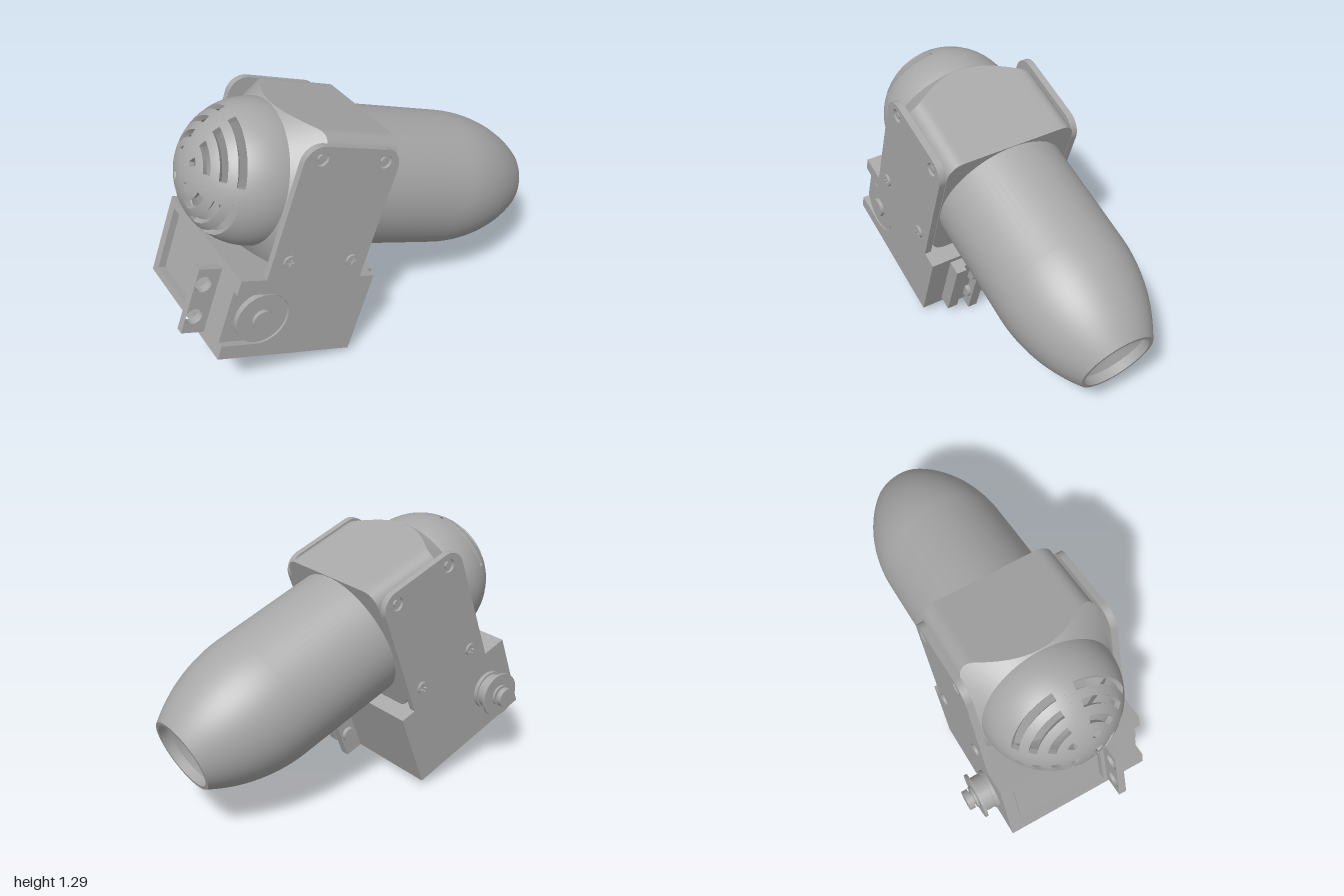
import * as THREE from 'three';
import { mergeGeometries } from 'three/addons/utils/BufferGeometryUtils.js';

const metal = new THREE.MeshStandardMaterial({ color: 0xa8a8a8, side: THREE.DoubleSide });
metal.name = 'grey metal';

// Layout before tilting: x along the barrel, y up, z across
const AXIS_Y = 0.72, MID_Z = 0.06, R = 0.34;
const REAR = -0.815, FRONT = -0.305;

export function createModel() {
  const root = new THREE.Group();
  root.name = 'tiltedBlower';
  const body = new THREE.Group();
  body.name = 'blower';
  body.rotation.z = THREE.MathUtils.degToRad(-20);
  root.add(body);

  const add = (name, geometry, x = 0, y = 0, z = 0) => {
    const mesh = new THREE.Mesh(geometry, metal);
    mesh.name = name;
    mesh.position.set(x, y, z);
    body.add(mesh);
    return mesh;
  };
  const box = (name, x0, x1, y0, y1, z0, z1) =>
    add(name, new THREE.BoxGeometry(x1 - x0, y1 - y0, z1 - z0), (x0 + x1) / 2, (y0 + y1) / 2, (z0 + z1) / 2);
  const discZ = (name, x, y, z0, z1, r) =>
    add(name, new THREE.CylinderGeometry(r, r, z1 - z0, 32).rotateX(Math.PI / 2), x, y, (z0 + z1) / 2);
  const spun = (name, points) => add(name, new THREE.LatheGeometry(
    points.map(([x, r]) => new THREE.Vector2(r, x)), 72).rotateZ(-Math.PI / 2), 0, AXIS_Y, MID_Z);
  const extrude = (shape, depth) =>
    new THREE.ExtrudeGeometry(shape, { depth, bevelEnabled: false, curveSegments: 20 });
  const circlePath = (x, y, r) => new THREE.Path().absarc(x, y, r, 0, Math.PI * 2, true);

  // Barrel: straight tube, then a circular taper to the mouth
  spun('barrelTube', [[FRONT, R], [0.25, R]]);
  const taper = [], bend = 0.837;
  for (let i = 0; i <= 20; i++) {
    const d = 0.478 * i / 20;
    taper.push([0.25 + d, R - bend + Math.sqrt(bend * bend - d * d)]);
  }
  spun('barrelNose', taper);
  spun('mouthRim', [[0.728, 0.19], [0.728, 0.172]]);
  spun('mouthWall', [[0.728, 0.172], [0.68, 0.18]]);
  spun('mouthFunnel', [[0.68, 0.18], [0.57, 0.001]]);

  // Rear dome: thin curved shell pieces around four rings of vent slots
  const shell = (phi0, phi1, th0, th1) => {
    const g = new THREE.BoxGeometry(1, 1, 1, Math.max(4, Math.ceil((phi1 - phi0) * 12)),
      Math.max(2, Math.ceil((th1 - th0) * 14)), 1);
    const p = g.attributes.position, n = g.attributes.normal, flat = n.clone();
    const dir = new THREE.Vector3(), dirs = [];
    for (let i = 0; i < p.count; i++) {
      const phi = phi0 + (p.getX(i) + 0.5) * (phi1 - phi0);
      const th = th0 + (p.getY(i) + 0.5) * (th1 - th0);
      const r = R - 0.025 * (0.5 - p.getZ(i));
      dir.set(-Math.cos(th), Math.sin(th) * Math.cos(phi), Math.sin(th) * Math.sin(phi));
      dirs.push(dir.clone());
      p.setXYZ(i, dir.x * r, dir.y * r, dir.z * r);
    }
    g.computeVertexNormals();
    for (let i = 0; i < p.count; i++) {
      const s = flat.getZ(i);
      if (Math.abs(s) > 0.5) g.attributes.normal.setXYZ(i, dirs[i].x * s, dirs[i].y * s, dirs[i].z * s);
    }
    return g;
  };
  const pieces = [];
  let last = 0.001;
  for (const th of [0.25, 0.48, 0.72, 0.96]) {
    const a = th - 0.055, b = th + 0.055;
    pieces.push(shell(0, Math.PI * 2, last, a));
    const gap = 0.05 / (R * Math.sin(th));
    for (let k = 0; k < 4; k++) pieces.push(shell(k * Math.PI / 2 - gap, k * Math.PI / 2 + gap, a, b));
    last = b;
  }
  pieces.push(shell(0, Math.PI * 2, last, Math.PI / 2));
  add('ventedDome', mergeGeometries(pieces), REAR, AXIS_Y, MID_Z);

  // Housing: rounded square block whose rear corners are cut by a cone
  const half = 0.344, corner = 0.08, outline = [];
  for (let k = 0; k < 4; k++) {
    const sx = [1, -1, -1, 1][k], sy = [1, 1, -1, -1][k];
    for (let i = 0; i <= 8; i++) {
      const t = (k + i / 8) * Math.PI / 2;
      outline.push([sx * (half - corner) + corner * Math.cos(t), sy * (half - corner) + corner * Math.sin(t)]);
    }
    // points along the flat side, so the cone cut curves
    const [cz, cy] = outline[outline.length - 1];
    const t = (k + 1) * Math.PI / 2;
    for (let i = 1; i < 16; i++) {
      const d = 2 * (half - corner) * i / 16;
      outline.push([cz - Math.sin(t) * d, cy + Math.cos(t) * d]);
    }
  }
  const strip = (ringA, ringB) => {
    const pos = [], idx = [], n = ringA.length;
    ringA.forEach((v, i) => pos.push(...v, ...ringB[i]));
    for (let i = 0; i < n; i++) {
      const a = 2 * i, b = 2 * ((i + 1) % n);
      idx.push(a, a + 1, b, b, a + 1, b + 1);
    }
    const g = new THREE.BufferGeometry();
    g.setAttribute('position', new THREE.Float32BufferAttribute(pos, 3));
    g.setIndex(idx);
    g.computeVertexNormals();
    return g;
  };
  const rim = outline.map(([z, y]) => { const l = Math.hypot(z, y); return [REAR, y / l * R, z / l * R]; });
  const cut = outline.map(([z, y]) => [REAR + 1.1 * (Math.hypot(z, y) - R), y, z]);
  const front = outline.map(([z, y]) => [FRONT, y, z]);
  const centre = outline.map(() => [FRONT, 0, 0]);
  add('housingChamfer', strip(rim, cut), 0, AXIS_Y, MID_Z);
  add('housingSides', strip(cut, front), 0, AXIS_Y, MID_Z);
  add('housingFront', strip(front, centre), 0, AXIS_Y, MID_Z);

  // Side walls: base side and upright arm in one plate
  const B0 = -0.945, B1 = -0.222, Y0 = -0.04, Y1 = 0.375, TOP = 1.036, r = 0.09;
  const pivot = [-0.774, 0.166];
  const wall = (slotted) => {
    const s = new THREE.Shape();
    s.moveTo(B0, Y0);
    s.lineTo(B1, Y0);
    s.lineTo(B1, Y1);
    s.lineTo(FRONT, Y1);
    s.absarc(FRONT - r, TOP - r, r, 0, Math.PI / 2, false);
    s.absarc(REAR + r, TOP - r, r, Math.PI / 2, Math.PI, false);
    s.lineTo(REAR, Y1);
    s.lineTo(B0, Y1);
    if (slotted) {
      s.lineTo(B0, pivot[1] + 0.135);
      s.absarc(pivot[0], pivot[1], 0.135, Math.PI / 2, -Math.PI / 2, true);
      s.lineTo(B0, pivot[1] - 0.135);
    }
    s.closePath();
    for (const x of [-0.728, -0.388]) s.holes.push(circlePath(x, 0.976, 0.034));
    return extrude(s, 0.034);
  };
  add('leftWall', wall(true), 0, 0, 0.406);
  add('rightWall', wall(false), 0, 0, -0.32);

  // Screws: recessed in the upper corners, crossed heads lower down
  for (const side of [1, -1]) {
    const face = side > 0 ? 0.44 : -0.32;
    const span = (d0, d1) => [face + side * d0, face + side * d1].sort((a, b) => a - b);
    for (const x of [-0.728, -0.388]) {
      discZ('recessFloor', x, 0.976, ...span(-0.033, -0.015), 0.034);
      discZ('recessedScrew', x, 0.976, ...span(-0.015, -0.003), 0.017);
      const head = new THREE.Shape().absarc(0, 0, 0.032, 0, Math.PI * 2, false);
      const cross = new THREE.Path(), w = 0.005, l = 0.018;
      [[w, w], [w, l], [-w, l], [-w, w], [-l, w], [-l, -w], [-w, -w], [-w, -l], [w, -l], [w, -w], [l, -w], [l, w]]
        .forEach(([px, py], i) => i ? cross.lineTo(px, py) : cross.moveTo(px, py));
      cross.closePath();
      head.holes.push(cross);
      add('crossScrew', extrude(head, 0.012), x, 0.468, span(0, 0.012)[0]);
    }
  }

  // Base block with a framed recess at the rear
  box('baseBlock', -0.905, B1, Y0, Y1, -0.29, 0.408);
  const frame = new THREE.Shape([[-0.29, Y0], [0.408, Y0], [0.408, Y1], [-0.29, Y1]].map(p => new THREE.Vector2(...p)));
  frame.holes.push(new THREE.Path([[-0.27, 0], [-0.27, 0.335], [0.21, 0.335], [0.21, 0]].map(p => new THREE.Vector2(...p))));
  add('rearFrame', extrude(frame, 0.04).rotateY(-Math.PI / 2), -0.905);
  box('rearPanel', -0.92, -0.9, 0.02, 0.315, -0.25, 0.19);

  // Rear tab with two holes
  const tab = new THREE.Shape([[-1.06, -0.008], [-0.92, -0.008], [-0.92, 0.333], [-1.06, 0.333]].map(p => new THREE.Vector2(...p)));
  for (const y of [0.081, 0.252]) tab.holes.push(circlePath(-1.018, y, 0.041));
  add('rearTab', extrude(tab, 0.04), 0, 0, 0.23);

  // Front coupling: thin plate, backing pads and two bolts
  box('couplingPlate', B1, -0.125, Y0, 0.375, 0.17, 0.22);
  box('couplingPad', B1, -0.15, -0.01, 0.345, 0.28, 0.335);
  box('couplingSpacer', B1, -0.175, -0.01, 0.345, 0.22, 0.28);
  for (const y of [0.081, 0.252]) discZ('couplingBolt', -0.172, y, 0.148, 0.24, 0.038);

  // Pivot on the left side
  discZ('pivotPad', ...pivot, 0.4, 0.436, 0.128);
  discZ('pivotPin', ...pivot, 0.43, 0.455, 0.05);

  // Stepped knob on the right side
  [[-0.34, -0.31, 0.1], [-0.395, -0.34, 0.09], [-0.408, -0.395, 0.115], [-0.42, -0.408, 0.055],
    [-0.43, -0.42, 0.035], [-0.458, -0.43, 0.05]]
    .forEach(([z0, z1, rad]) => discZ('pivotKnob', ...pivot, z0, z1, rad));

  return root;
}
